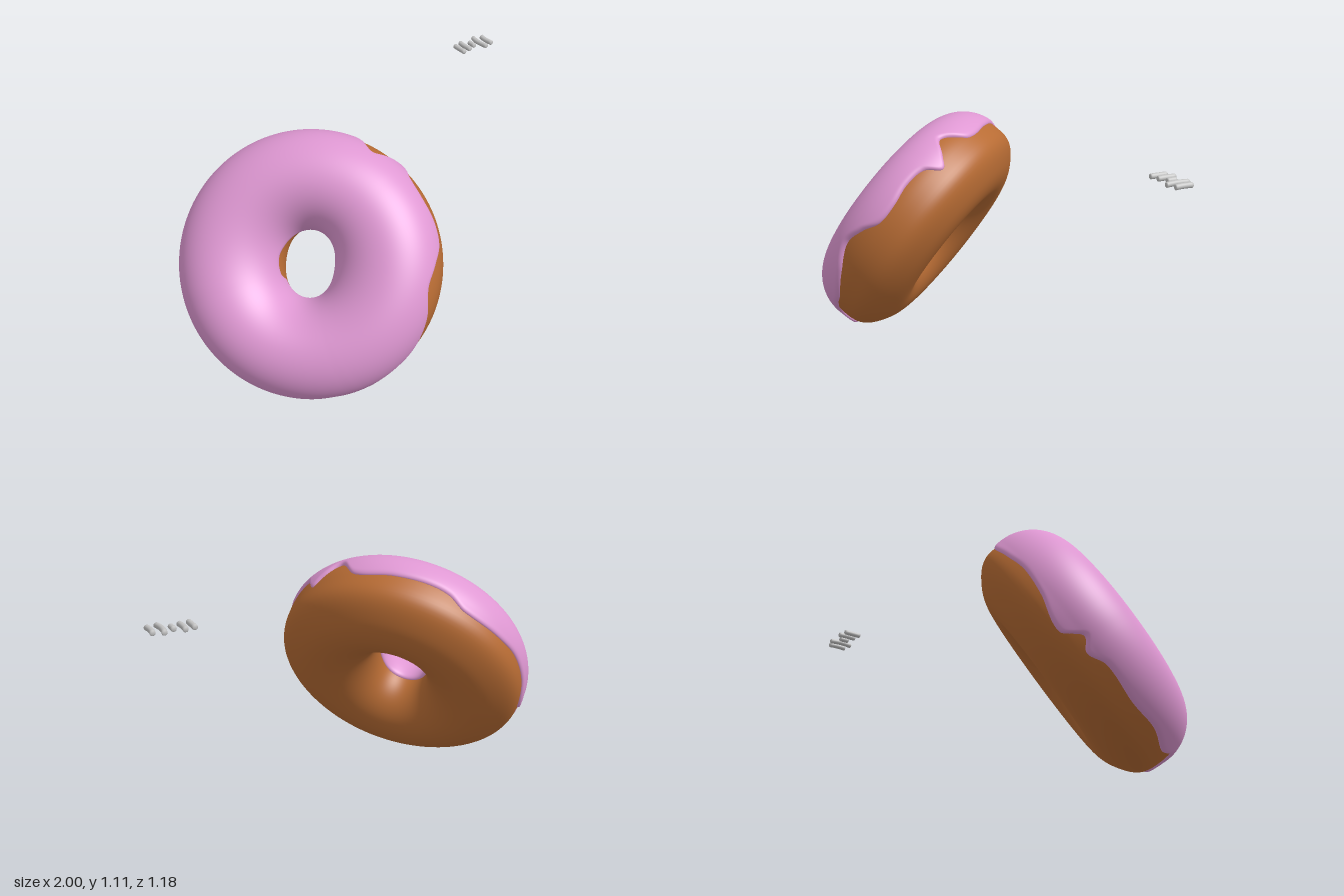
import * as THREE from 'three';

const DEG = Math.PI / 180;
const RING = 0.375, TUBE = 0.23;

// Icing edges as [angle round the ring, angle round the tube], in degrees
const OUTER_EDGE = [
  [-163, -19], [-156, 0], [-150, -9], [-142, 1], [-123, 1], [-106, 6], [-88, 2], [-72, 11],
  [-66, 3], [-60, -23], [-54, 0], [-43, 6], [-33, 7], [-17, 19], [-3, 33], [8, 24], [16, 12], [26, 11],
  [37, 15], [47, 11], [53, -5], [58, 6], [66, 24], [77, 1], [95, 2], [111, 3], [121, 0], [130, -11],
  [150, -9], [165, -5], [180, -9],
];
const INNER_EDGE = [
  [-152, 169], [-138, 180], [-72, 182], [0, 176], [60, 180], [110, 176], [146, 168], [172, 163],
];

// Smooth periodic curve through the edge points
function edgeAt(keys, deg) {
  const n = keys.length;
  const key = (i) => {
    const turns = Math.floor(i / n), [a, v] = keys[i - turns * n];
    return [a + 360 * turns, v];
  };
  const d = deg < keys[0][0] ? deg + 360 : deg;
  let i = 0;
  while (key(i + 1)[0] < d) i++;
  const [k0, k1, k2, k3] = [key(i - 1), key(i), key(i + 1), key(i + 2)];
  const span = k2[0] - k1[0], t = (d - k1[0]) / span;
  const m1 = ((k2[1] - k0[1]) / (k2[0] - k0[0])) * span, m2 = ((k3[1] - k1[1]) / (k3[0] - k1[0])) * span;
  const t2 = t * t, t3 = t2 * t;
  return (2 * t3 - 3 * t2 + 1) * k1[1] + (t3 - 2 * t2 + t) * m1 + (3 * t2 - 2 * t3) * k2[1] + (t3 - t2) * m2;
}

// Point on the dough: oval hole, flatter underside with a fuller lower rim
function ringPoint(th, phi, lift) {
  const c = Math.cos(phi), s = Math.sin(phi);
  const reach = c > 0 ? TUBE : RING - (0.146 - 0.02 * Math.cos(2 * th));
  let rho = RING + (reach + lift) * c;
  if (s < 0 && c > 0.5) rho += 0.012 * Math.sin(3 * Math.asin(s)) ** 2;
  const h = ((s < 0 ? 0.215 : TUBE) + lift) * s;
  return [rho * Math.cos(th), rho * Math.sin(th), h];
}

// Sheet closed round the ring, made from cross-sections
function ringSheet(around, across, pointAt) {
  const pos = [], index = [];
  for (let i = 0; i < around; i++) {
    for (let j = 0; j <= across; j++) {
      pos.push(...pointAt(-180 + (360 * i) / around, j / across));
      if (j < across) {
        const a = i * (across + 1) + j, b = ((i + 1) % around) * (across + 1) + j;
        index.push(a, b, a + 1, b, b + 1, a + 1);
      }
    }
  }
  const g = new THREE.BufferGeometry();
  g.setAttribute('position', new THREE.Float32BufferAttribute(pos, 3));
  g.setIndex(index);
  g.computeVertexNormals();
  return g;
}

// Icing section: rounded down to the dough at both edges
function icingPoint(deg, f) {
  const p0 = edgeAt(OUTER_EDGE, deg) * DEG, p1 = edgeAt(INNER_EDGE, deg) * DEG;
  const w = 0.5 - 0.5 * Math.cos(Math.PI * f);
  const phi = p0 + (p1 - p0) * w;
  const s = Math.min(1, ((p1 - p0) * Math.min(w, 1 - w) * TUBE) / 0.025);
  const coat = 0.012 + 0.007 * Math.sin(2 * Math.max(0, phi));
  return ringPoint(deg * DEG, phi, -0.003 + (coat + 0.003) * Math.sqrt(1 - (1 - s) ** 2));
}

// Sprinkle: a small rod along z with softened ends, optionally bowed in x
function sprinkleGeometry(length, bow, radius = 0.0125) {
  const h = length / 2, c = 0.004, pts = [new THREE.Vector2(0, -h), new THREE.Vector2(radius - c, -h)];
  for (let i = 0; i <= 10; i++) pts.push(new THREE.Vector2(radius, (-h + c) * (1 - i / 5)));
  pts.push(new THREE.Vector2(radius - c, h), new THREE.Vector2(0, h));
  const g = new THREE.LatheGeometry(pts, 16);
  g.rotateX(Math.PI / 2);
  const p = g.attributes.position;
  for (let i = 0; i < p.count; i++) p.setX(i, p.getX(i) + bow * ((p.getZ(i) / h) ** 2 - 0.5));
  return g;
}

export function createModel() {
  const model = new THREE.Group();
  const mat = (name, color) => Object.assign(new THREE.MeshStandardMaterial({ color }), { name });
  const doughMat = mat('dough brown', 0xb86c34);
  const icingMat = mat('icing pink', 0xdf98d3);
  const sprinkleMat = mat('sprinkle grey', 0xc4c4c4);
  icingMat.side = THREE.DoubleSide;

  // Ring cake, tilted so the iced face looks forward, up and to its right
  const donut = new THREE.Group();
  donut.name = 'donut';
  const axis = new THREE.Vector3(-0.615, 0.553, 0.562).normalize();
  const u = new THREE.Vector3(0, 1, 0).cross(axis).normalize();
  const v = axis.clone().cross(u);
  donut.quaternion.setFromRotationMatrix(new THREE.Matrix4().makeBasis(u, v, axis));
  donut.position.set(-0.459, 0.547, 0.03);
  const doughPoint = (deg, f) => ringPoint(deg * DEG, (0.25 + f) * 2 * Math.PI, 0);
  const dough = new THREE.Mesh(ringSheet(160, 72, doughPoint), doughMat);
  dough.name = 'dough';
  const icing = new THREE.Mesh(ringSheet(360, 64, icingPoint), icingMat);
  icing.name = 'icing';
  donut.add(dough, icing);
  model.add(donut);

  // Row of loose sprinkles: x, z, length, bow
  const sprinkles = new THREE.Group();
  sprinkles.name = 'sprinkles';
  [
    [0.808, -0.527, 0.086, 0],
    [0.85, -0.538, 0.09, 0.003],
    [0.893, -0.535, 0.048, 0],
    [0.938, -0.532, 0.116, 0.008],
    [0.984, -0.532, 0.088, 0.005],
  ].forEach(([x, z, length, bow], i) => {
    const s = new THREE.Mesh(sprinkleGeometry(length, bow), sprinkleMat);
    s.name = 'sprinkle' + (i + 1);
    s.position.set(x, 1.046, z);
    sprinkles.add(s);
  });
  model.add(sprinkles);
  return model;
}
